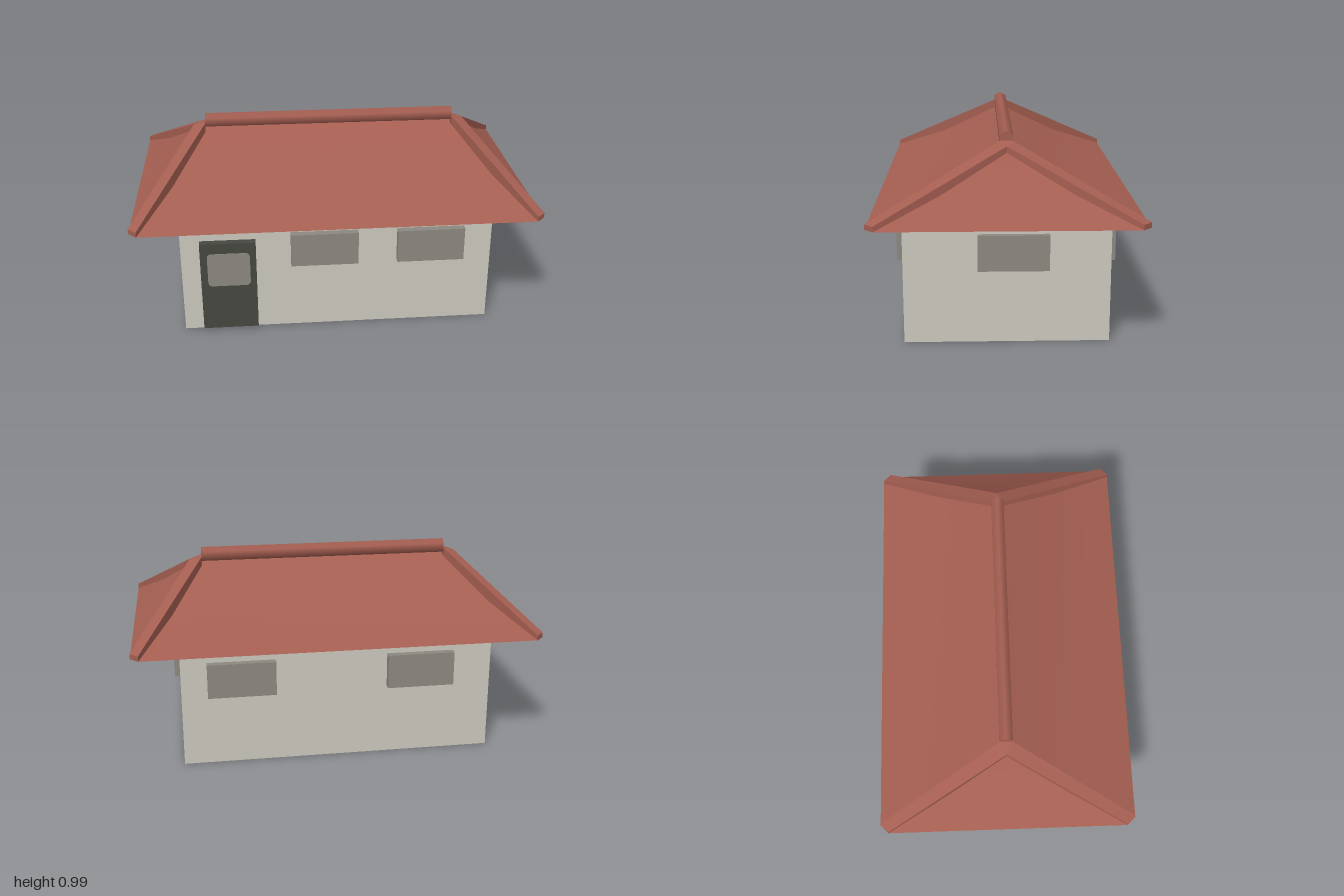
import * as THREE from 'three';

const material = (name, color, side = THREE.FrontSide) => {
  const m = new THREE.MeshStandardMaterial({ color, side });
  m.name = name;
  return m;
};

// Surface lofted through rows of points (bottom to top, left to right seen from outside)
function loft(rows, flat = false, flip = false) {
  const n = rows[0].length;
  const index = [];
  const ordered = flip ? rows.map((r) => [...r].reverse()) : rows;
  for (let r = 0; r < rows.length - 1; r++) {
    for (let i = 0; i < n - 1; i++) {
      const a = r * n + i, b = a + 1, c = a + n, d = c + 1;
      index.push(a, b, c, b, d, c);
    }
  }
  let geo = new THREE.BufferGeometry();
  geo.setAttribute('position', new THREE.Float32BufferAttribute(ordered.flat(2), 3));
  geo.setIndex(index);
  if (flat) geo = geo.toNonIndexed();
  geo.computeVertexNormals();
  return geo;
}

// Box without the listed faces (0 +x, 1 -x, 2 +y, 3 -y, 4 +z, 5 -z)
function openBox(w, h, d, dropped) {
  const geo = new THREE.BoxGeometry(w, h, d);
  const all = Array.from(geo.index.array);
  geo.setIndex(all.filter((_, i) => !dropped.includes(Math.floor(i / 6))));
  geo.clearGroups();
  return geo;
}

export function createModel() {
  const house = new THREE.Group();
  house.name = 'house';
  const plaster = material('plaster', 0xcbc7bd, THREE.DoubleSide);
  const tile = material('roofTile', 0xa45e51, THREE.DoubleSide);
  const glass = material('windowGrey', 0x8b8880);
  const dark = material('doorDark', 0x474741);

  const add = (parent, name, geo, mat) => {
    const mesh = new THREE.Mesh(geo, mat);
    mesh.name = name;
    parent.add(mesh);
    return mesh;
  };

  // Walls, open above and below
  const halfX = 0.775, halfZ = 0.485, wallTop = 0.603;
  add(house, 'walls', openBox(halfX * 2, wallTop, halfZ * 2, [2, 3]), plaster).position.y = wallTop / 2;

  // Windows: shallow boxes without a back, set just through the wall
  const depth = 0.042, inset = 0.005;
  const out = depth / 2 - inset;
  const addPanel = (name, w, h, x, y, z, turn, mat) => {
    const mesh = add(house, name, openBox(w, h, depth, [5]), mat);
    mesh.position.set(x, y, z);
    mesh.rotation.y = turn;
  };
  const winW = 0.334, winH = 0.172, winY = 0.444;
  for (const x of [-0.065, 0.465]) addPanel('frontWindow', winW, winH, x, winY, halfZ + out, 0, glass);
  for (const x of [-0.41, 0.48]) addPanel('backWindow', winW, winH, x, winY, -halfZ - out, Math.PI, glass);
  for (const s of [-1, 1]) addPanel('sideWindow', winW, winH, s * (halfX + out - 0.008), winY, -0.03, s * Math.PI / 2, glass);

  // Door with a rounded pane
  addPanel('door', 0.275, 0.48, -0.542, 0.26, halfZ + out, 0, dark);
  const w = 0.105, h = 0.09, r = 0.025;
  const pane = new THREE.Shape();
  pane.moveTo(-w + r, -h);
  pane.lineTo(w - r, -h);
  pane.quadraticCurveTo(w, -h, w, -h + r);
  pane.lineTo(w, h - r);
  pane.quadraticCurveTo(w, h, w - r, h);
  pane.lineTo(-w + r, h);
  pane.quadraticCurveTo(-w, h, -w, h - r);
  pane.lineTo(-w, -h + r);
  pane.quadraticCurveTo(-w, -h, -w + r, -h);
  const paneGeo = new THREE.ExtrudeGeometry(pane, { depth: 0.004, bevelEnabled: false });
  add(house, 'doorPane', paneGeo, glass).position.set(-0.54, 0.355, halfZ + depth - inset - 0.001);

  // Roof: four concave slopes between raised hip ribs
  const roof = new THREE.Group();
  roof.name = 'roof';
  house.add(roof);
  const eave = 0.61;
  const longEdge = [[0.96, eave, 0.63], [0.8, 0.728, 0.33], [0.64, 0.895, 0.03]];
  const endEdge = [[1, eave, 0.59], [0.853, 0.735, 0.3], [0.7, 0.895, 0]];
  const longTop = [[0.96, 0.635, 0.63], [0.8, 0.7875, 0.33], [0.64, 0.94, 0.03]];
  const endTop = [[1, 0.635, 0.59], [0.85, 0.78, 0.295], [0.7, 0.925, 0]];

  const longRows = [...longEdge, [0.64, 0.911, 0]].map(([x, y, z]) => [[-x, y, z], [x, y, z]]);
  const endRows = endEdge.map(([x, y, z]) => [[x, y, z], [x, y, -z]]);
  for (const turn of [0, Math.PI]) {
    add(roof, 'longSlope', loft(longRows), tile).rotation.y = turn;
    add(roof, 'endSlope', loft(endRows), tile).rotation.y = turn;
  }

  // Hip ribs, mirrored to each corner
  for (const sx of [-1, 1]) {
    for (const sz of [-1, 1]) {
      const m = ([x, y, z]) => [x * sx, y, z * sz];
      const flip = sx * sz < 0;
      const rows = longEdge.map((p, i) => [m(p), m(longTop[i]), m(endTop[i]), m(endEdge[i])]);
      add(roof, 'hipRib', loft(rows, true, flip), tile);
      const foot = [[m(longEdge[0]), m(endEdge[0])], [m(longTop[0]), m(endTop[0])]];
      add(roof, 'hipRibFoot', loft(foot, true, flip), tile);
    }
    // Small triangle where two ribs meet
    const [x, y, z] = longTop[2];
    const tip = [endTop[2][0] * sx, endTop[2][1], 0];
    const rows = [[[x * sx, y, z], tip], [[x * sx, y, -z], tip]];
    add(roof, 'ribPeak', loft(rows, true, sx < 0), tile);
  }

  // Flat underside
  const under = new THREE.Shape([
    [0.96, 0.63], [-0.96, 0.63], [-1, 0.59], [-1, -0.59],
    [-0.96, -0.63], [0.96, -0.63], [1, -0.59], [1, 0.59],
  ].map(([x, z]) => new THREE.Vector2(x, z)));
  add(roof, 'soffit', new THREE.ShapeGeometry(under).rotateX(Math.PI / 2), tile).position.y = eave;

  // Six-sided ridge cap
  const cap = new THREE.CylinderGeometry(0.037, 0.037, 1.28, 6, 1, false, Math.PI / 6);
  add(roof, 'ridgeCap', cap.rotateZ(Math.PI / 2), tile).position.y = 0.948;

  return house;
}
